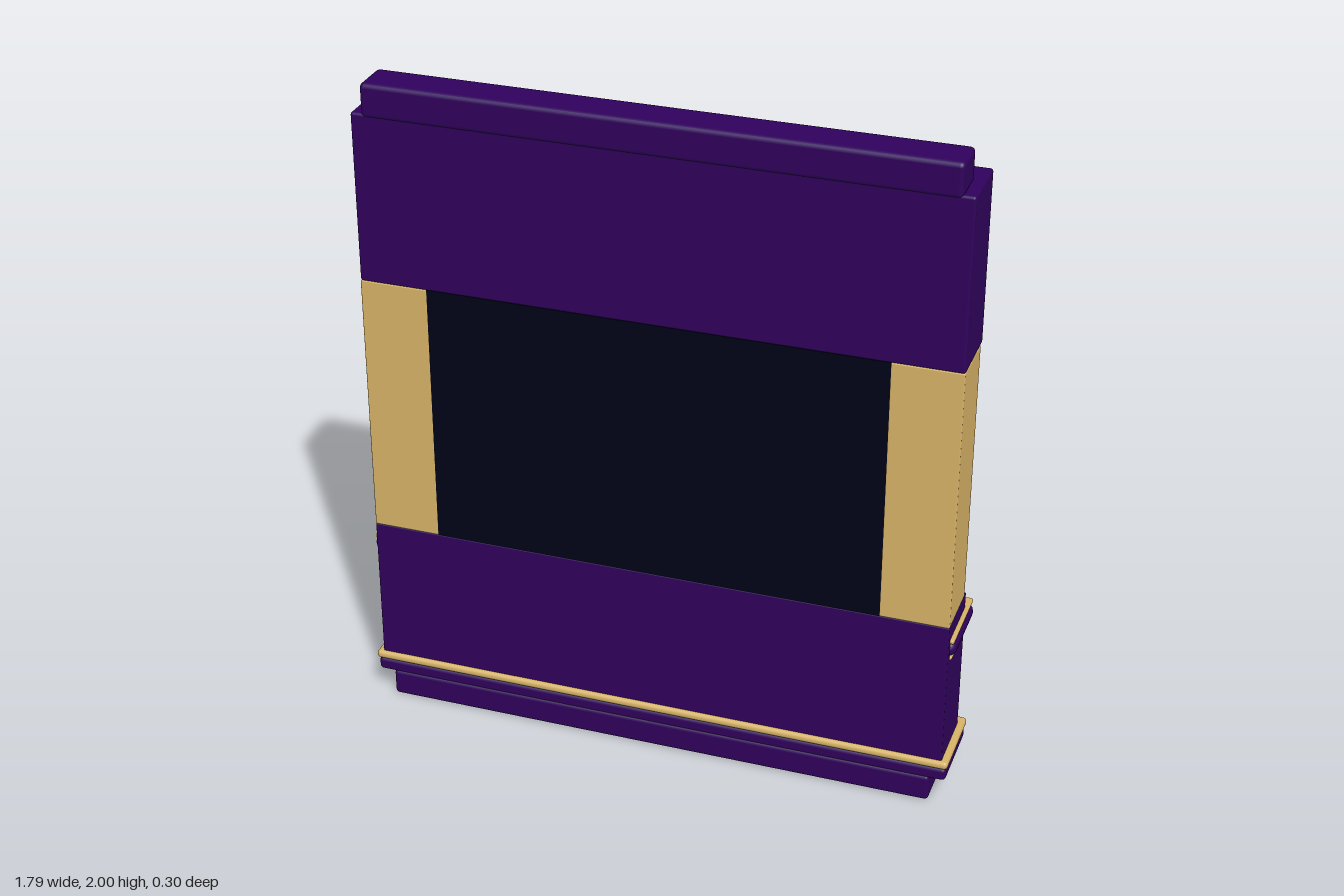
import * as THREE from 'three';
import { RoundedBoxGeometry } from 'three/addons/geometries/RoundedBoxGeometry.js';

const mat = (name, color) => {
  const m = new THREE.MeshStandardMaterial({ color });
  m.name = name;
  return m;
};

export function createModel() {
  const root = new THREE.Group();
  root.name = 'ornateDisplayCabinet';
  const purple = mat('purple', 0x30015c), gold = mat('gold', 0xd6b267);
  const antique = mat('antiqueGold', 0xb3944f), dark = mat('darkGlass', 0x010216);
  const teal = mat('tealBlue', 0x1a659c), magenta = mat('magenta', 0xb00f62);

  const add = (name, geo, m, parent = root) => {
    const mesh = new THREE.Mesh(geo, m);
    mesh.name = name;
    parent.add(mesh);
    return mesh;
  };
  // box given by its limits, rounded when r is set
  const box = (name, m, x0, x1, y0, y1, z0, z1, r = 0, parent = root) => {
    const s = [x1 - x0, y1 - y0, z1 - z0];
    const geo = r ? new RoundedBoxGeometry(...s, 2, r) : new THREE.BoxGeometry(...s);
    const mesh = add(name, geo, m, parent);
    mesh.position.set((x0 + x1) / 2, (y0 + y1) / 2, (z0 + z1) / 2);
    return mesh;
  };
  // rectangular ring in the XY plane
  const ring = (name, m, w, h, t, cx, cy, z0, z1) => {
    const rect = (P, a, b) => {
      const p = new P();
      p.moveTo(-a, -b); p.lineTo(a, -b); p.lineTo(a, b); p.lineTo(-a, b); p.closePath();
      return p;
    };
    const s = rect(THREE.Shape, w / 2, h / 2);
    s.holes.push(rect(THREE.Path, w / 2 - t, h / 2 - t));
    const mesh = add(name, new THREE.ExtrudeGeometry(s, { depth: z1 - z0, bevelEnabled: false }), m);
    mesh.position.set(cx, cy, z0);
  };
  const tube = (name, m, pts, r, seg, parent = root) =>
    add(name, new THREE.TubeGeometry(new THREE.CatmullRomCurve3(pts), seg, r, 6), m, parent);
  const V = (x, y, z) => new THREE.Vector3(x, y, z);

  // stacked body
  box('base', purple, -0.84, 0.84, 0, 0.085, 0.02, 0.145, 0.012);
  box('plinth', purple, -0.888, 0.888, 0.08, 0.122, -0.092, 0.146, 0.012);
  box('plinthMoulding', gold, -0.893, 0.893, 0.122, 0.148, -0.097, 0.152, 0.012);
  box('lowerBody', purple, -0.873, 0.873, 0.14, 0.6, -0.06, 0.14, 0.004);
  box('upperBody', purple, -0.873, 0.873, 1.4, 1.91, -0.06, 0.14, 0.008);
  box('topCap', purple, -0.84, 0.84, 1.9, 2, 0.02, 0.145, 0.014);
  box('screenPanel', dark, -0.672, 0.672, 0.599, 1.402, 0.085, 0.139);

  // ledge below the opening
  box('ledgeBottomTrim', gold, -0.88, 0.88, 0.482, 0.494, -0.105, 0.12, 0.005);
  box('ledge', purple, -0.89, 0.89, 0.492, 0.54, -0.112, 0.125, 0.022);
  box('ledgeTopTrim', gold, -0.885, 0.885, 0.538, 0.552, -0.112, 0.125, 0.006);

  // frame around the opening
  ring('outerFrame', gold, 1.42, 0.87, 0.015, 0, 0.995, -0.075, -0.056);
  ring('frameInlay', teal, 1.391, 0.841, 0.014, 0, 0.995, -0.075, -0.056);
  ring('innerFrame', gold, 1.364, 0.814, 0.032, 0, 0.995, -0.076, -0.056);

  // nameplates with rims
  const plate = (cx, cy, w, h) => {
    box('plate', dark, cx - w / 2, cx + w / 2, cy - h / 2, cy + h / 2, -0.067, -0.06);
    ring('plateRim', antique, w, h, 0.01, cx, cy, -0.073, -0.059);
  };
  for (let i = -2; i <= 2; i++) plate(i * 0.325, 1.682, 0.285, 0.108);
  plate(0, 1.525, 0.62, 0.138);

  // arched rail with beads along its edge
  const archY = x => 1.872 - 0.145 * x * x;
  const shape = new THREE.Shape();
  const N = 32, half = 0.765;
  for (let i = 0; i <= N; i++) {
    const x = -half + (2 * half * i) / N;
    shape[i ? 'lineTo' : 'moveTo'](x, archY(x) - 0.017);
  }
  for (let i = N; i >= 0; i--) {
    const x = -half + (2 * half * i) / N;
    shape.lineTo(x, archY(x) + 0.014);
  }
  const arch = add('archRail', new THREE.ExtrudeGeometry(shape, { depth: 0.025, bevelEnabled: false }), gold);
  arch.position.z = -0.084;
  const bead = new THREE.SphereGeometry(0.008, 8, 6);
  for (let i = 0; i <= 24; i++) {
    const x = -0.76 + (1.52 * i) / 24;
    add('archBead', bead, antique).position.set(x, archY(x) - 0.024, -0.074);
  }
  for (const s of [-1, 1]) {
    add('archFinial', new THREE.SphereGeometry(0.018, 12, 8), antique).position.set(s * 0.785, 1.782, -0.075);
    add('archFinialTip', new THREE.SphereGeometry(0.013, 10, 8), antique).position.set(s * 0.813, 1.775, -0.075);
  }

  // studded ball at the centre
  const ball = new THREE.Group();
  ball.name = 'studdedBall';
  ball.position.set(0, 1.803, -0.102);
  root.add(ball);
  add('ballCore', new THREE.SphereGeometry(0.038, 16, 12), dark, ball);
  const stud = new THREE.SphereGeometry(0.0075, 6, 5);
  for (let i = 0; i < 44; i++) {
    const y = 1 - (2 * (i + 0.5)) / 44, r = Math.sqrt(1 - y * y), a = i * 2.39996;
    add('ballStud', stud, antique, ball)
      .position.set(Math.cos(a) * r * 0.035, y * 0.035, Math.sin(a) * r * 0.035);
  }

  // column profile from the ledge to the capital
  const profile = [
    [0, 0.562], [0.042, 0.562], [0.043, 0.578], [0.036, 0.592], [0.037, 0.605], [0.03, 0.63], [0.026, 0.66],
    [0.03, 0.78], [0.032, 1.0], [0.03, 1.2], [0.025, 1.34], [0.026, 1.36], [0.034, 1.37],
    [0.03, 1.385], [0.034, 1.405], [0.043, 1.436], [0, 1.436],
  ].map(p => new THREE.Vector2(...p));

  for (const s of [-1, 1]) {
    const side = new THREE.Group();
    side.name = s > 0 ? 'leftSide' : 'rightSide';
    root.add(side);
    const span = (name, m, x0, x1, y0, y1, z0, z1, r = 0) =>
      box(name, m, Math.min(s * x0, s * x1), Math.max(s * x0, s * x1), y0, y1, z0, z1, r, side);
    span('sidePillar', gold, 0.67, 0.873, 0.599, 1.402, -0.04, 0.14, 0.004);
    span('columnBacking', purple, 0.69, 0.855, 0.625, 1.375, -0.054, -0.042);
    span('tealStripe', teal, 0.804, 0.816, 0.165, 0.455, -0.068, -0.059);

    // column with a spiral ribbon
    add('column', new THREE.LatheGeometry(profile, 20), gold, side).position.set(s * 0.8, 0, -0.104);
    span('columnFoot', gold, 0.753, 0.847, 0.55, 0.565, -0.148, -0.062, 0.005);
    span('columnCapital', gold, 0.747, 0.853, 1.433, 1.458, -0.149, -0.06, 0.008);
    const helix = [];
    for (let i = 0; i <= 64; i++) {
      const t = (i / 64) * Math.PI * 8 - Math.PI;
      helix.push(V(s * (0.8 + 0.037 * Math.cos(t)), 0.635 + 0.755 * i / 64, -0.104 + 0.037 * Math.sin(t)));
    }
    tube('spiralRibbon', magenta, helix, 0.007, 160, side);

    // sweeping strands on the lower panel
    for (let i = 0; i < 5; i++) {
      tube('lowerStrand', antique, [
        V(s * (0.08 + 0.045 * i), 0.18 + 0.004 * i, -0.064),
        V(s * (0.22 + 0.035 * i), 0.285 - 0.012 * i, -0.067),
        V(s * (0.44 + 0.015 * i), 0.378 - 0.02 * i, -0.067),
        V(s * (0.74 - 0.025 * i), 0.44 - 0.02 * i, -0.064),
      ], 0.007, 20, side);
    }
    // small strands beside the lower plate
    for (let i = 0; i < 3; i++) {
      tube('upperStrand', antique, [
        V(s * (0.37 + 0.055 * i), 1.46, -0.063),
        V(s * (0.41 + 0.05 * i), 1.505, -0.066),
        V(s * (0.53 + 0.03 * i), 1.545 - 0.012 * i, -0.063),
      ], 0.006, 14, side);
    }
  }
  return root;
}
